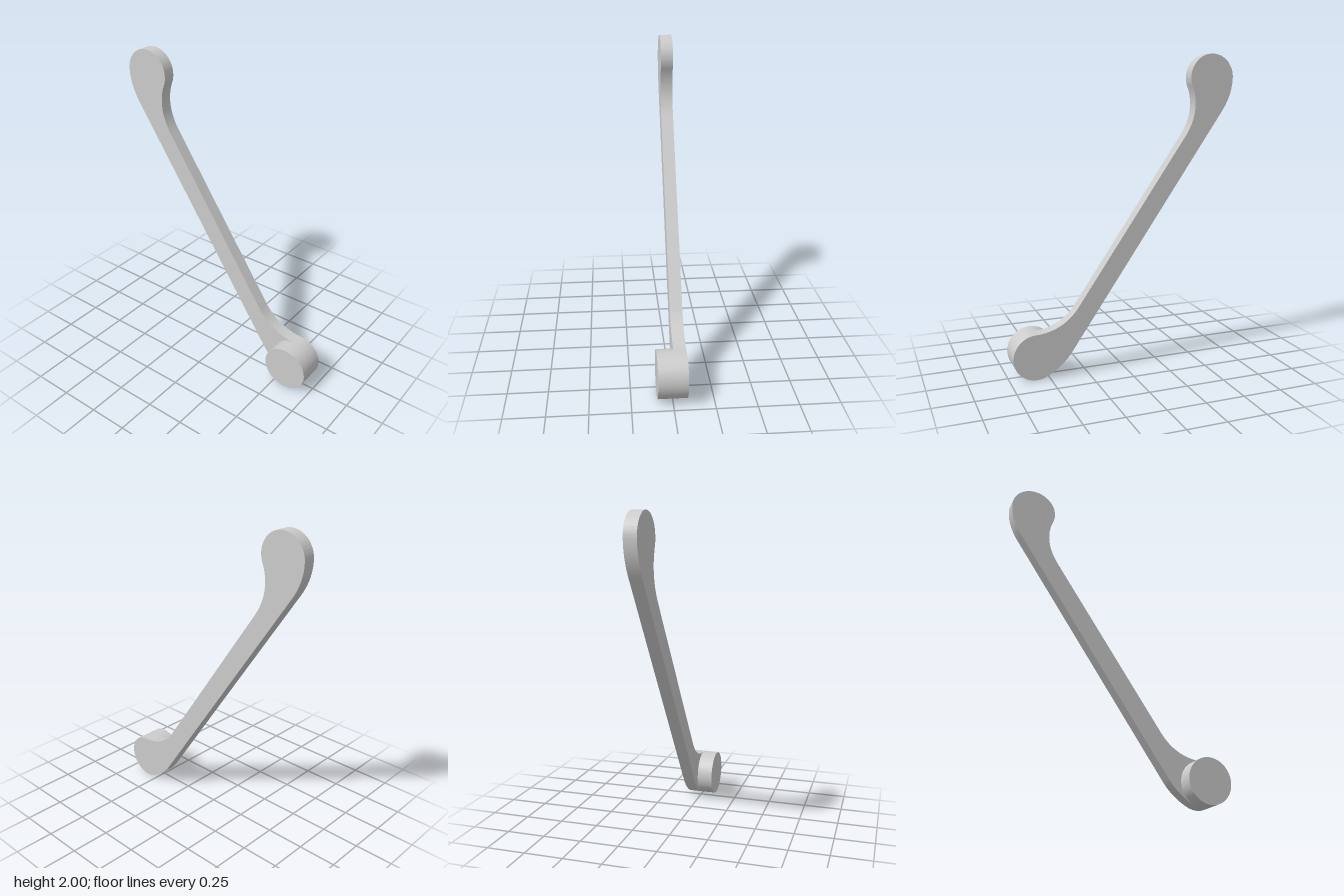
import * as THREE from 'three';
import { toCreasedNormals } from 'three/addons/utils/BufferGeometryUtils.js';

const R = 0.147; // radius of both rounded ends
const TOP = [-0.59, 1.853], BOTTOM = [0.583, 0.147];

export function createModel() {
  const group = new THREE.Group();
  group.name = 'crankLever';
  const material = new THREE.MeshStandardMaterial({ color: 0xcccccc });

  // Lever outline, clockwise: inner edge, lower end, outer edge, upper end
  const outline = new THREE.Shape();
  outline.moveTo(-0.453, 1.8);
  outline.quadraticCurveTo(-0.516, 1.645, -0.41, 1.487);
  outline.lineTo(0.31, 0.44);
  outline.quadraticCurveTo(0.41, 0.3, BOTTOM[0], BOTTOM[1] + R);
  outline.absarc(...BOTTOM, R, Math.PI / 2, Math.atan2(-0.132, -0.063), true);
  outline.quadraticCurveTo(0.415, 0.065, 0.35, 0.16);
  outline.lineTo(-0.665, 1.64);
  outline.quadraticCurveTo(-0.737, 1.745, TOP[0] - R, TOP[1]);
  outline.absarc(...TOP, R, Math.PI, Math.atan2(-0.053, 0.137), true);

  const plate = new THREE.ExtrudeGeometry(outline, {
    depth: 0.079, bevelEnabled: false, curveSegments: 32,
  });
  // The lever leans back very slightly towards its upper end
  const pos = plate.attributes.position;
  for (let i = 0; i < pos.count; i++) {
    pos.setZ(i, pos.getZ(i) - 0.087 - 0.0035 * pos.getY(i));
  }
  const lever = new THREE.Mesh(toCreasedNormals(plate, 0.5), material);
  lever.name = 'lever';
  group.add(lever);

  // Round boss on the front of the lower end
  const back = -0.03, front = 0.093;
  const bossGeometry = new THREE.CylinderGeometry(R, R, front - back, 64);
  bossGeometry.rotateX(Math.PI / 2);
  const boss = new THREE.Mesh(bossGeometry, material);
  boss.name = 'boss';
  boss.position.set(...BOTTOM, (front + back) / 2);
  group.add(boss);

  return group;
}
